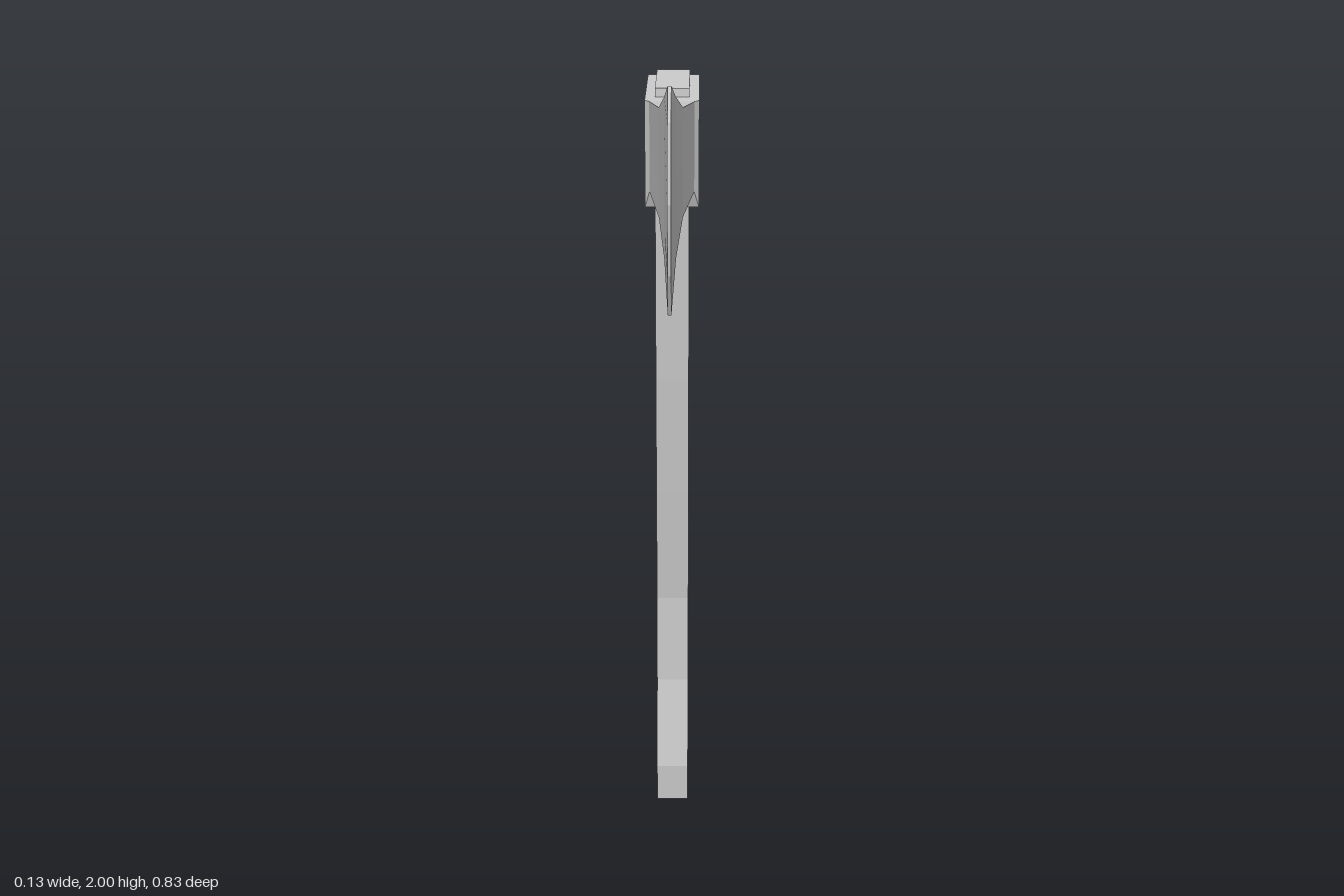
import * as THREE from 'three';

const material = new THREE.MeshStandardMaterial({ color: 0xcccccc, flatShading: true });

function addPart(group, name, geometry) {
  const mesh = new THREE.Mesh(geometry, material);
  mesh.name = name;
  group.add(mesh);
  return mesh;
}

// Curved wooden handle: a side outline of [z, y] points given a constant thickness
function handleGeometry() {
  const front = [[-0.105, 1.915], [-0.095, 1.65], [-0.133, 1.2], [-0.17, 0.89], [-0.208, 0.59],
    [-0.208, 0.36], [-0.175, 0.125], [-0.183, 0.025]];
  const back = [[-0.413, 0], [-0.382, 0.125], [-0.396, 0.36], [-0.4, 0.59], [-0.36, 0.88],
    [-0.35, 1.2], [-0.365, 1.45], [-0.368, 1.915]];
  const shape = new THREE.Shape([...front, ...back].map(([z, y]) => new THREE.Vector2(z, y)));
  const thickness = 0.08;
  return new THREE.ExtrudeGeometry(shape, { depth: thickness, bevelEnabled: false })
    .translate(0, 0, -thickness / 2)
    .rotateY(-Math.PI / 2);
}

// Flared blade: rings of points lofted from the head to the cutting edge
function bladeGeometry() {
  const rows = [0, 0.14, 0.48, 0.8, 1];
  const bulge = [0, 0.039, 0.066, 0.047, 0];
  // top [z, y], bottom [z, y], half thickness, share of the edge's bulge
  const sections = [
    { top: [-0.06, 1.895], bottom: [-0.06, 1.645], half: 0.063, curve: 0 },
    { top: [-0.045, 1.895], bottom: [-0.045, 1.685], half: 0.052, curve: 0 },
    { top: [0.135, 1.914], bottom: [0.13, 1.665], half: 0.027, curve: 0 },
    { top: [0.25, 1.957], bottom: [0.25, 1.6], half: 0.013, curve: 0.15 },
    { top: [0.36, 2], bottom: [0.34, 1.495], half: 0.004, curve: 1 },
  ];
  const n = rows.length;
  const ring = 2 * n;
  const positions = [];
  for (const { top, bottom, half, curve } of sections) {
    for (let i = 0; i < ring; i++) {
      const r = i < n ? i : ring - 1 - i;
      const z = THREE.MathUtils.lerp(top[0], bottom[0], rows[r]) + bulge[r] * curve;
      const y = THREE.MathUtils.lerp(top[1], bottom[1], rows[r]);
      positions.push(i < n ? half : -half, y, z);
    }
  }
  const indices = [];
  for (let s = 0; s < sections.length - 1; s++) {
    for (let i = 0; i < ring; i++) {
      const a = s * ring + i;
      const b = s * ring + ((i + 1) % ring);
      indices.push(a, a + ring, b, b, a + ring, b + ring);
    }
  }
  // Narrow strip along the cutting edge
  const last = (sections.length - 1) * ring;
  for (let i = 0; i < n - 1; i++) {
    const left = last + i;
    const right = last + ring - 1 - i;
    indices.push(left, right, right - 1, left, right - 1, left + 1);
  }
  const geometry = new THREE.BufferGeometry();
  geometry.setAttribute('position', new THREE.Float32BufferAttribute(positions, 3));
  geometry.setIndex(indices);
  geometry.computeVertexNormals();
  return geometry;
}

export function createModel() {
  const axe = new THREE.Group();
  axe.name = 'axe';

  addPart(axe, 'handle', handleGeometry());

  // Solid block around the top of the handle
  const head = new THREE.Group();
  head.name = 'axeHead';
  axe.add(head);
  addPart(head, 'headBlock', new THREE.BoxGeometry(0.126, 0.25, 0.356)).position.set(0, 1.77, -0.238);
  addPart(head, 'blade', bladeGeometry());

  return axe;
}
